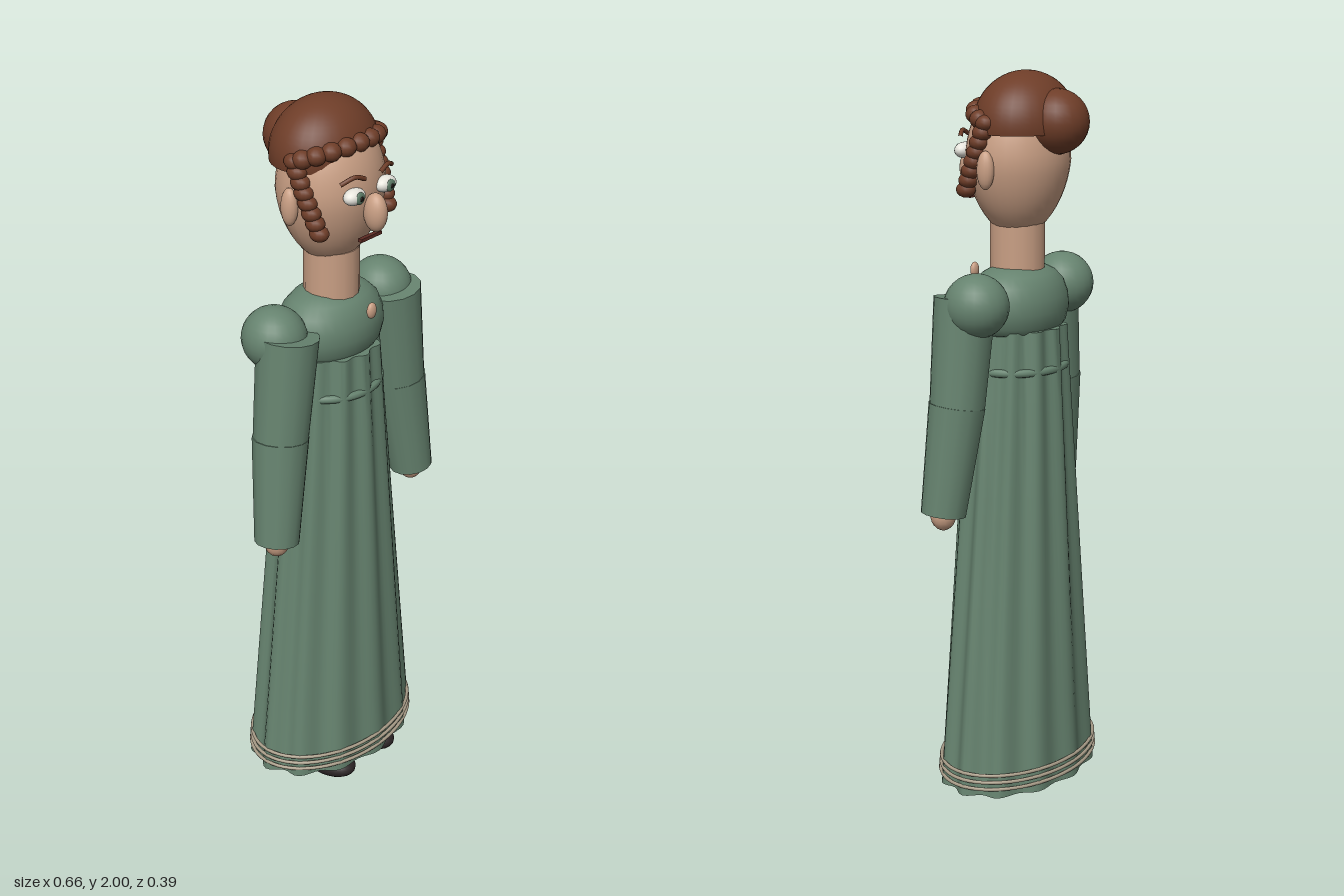
import * as THREE from 'three';
import { mergeVertices, toCreasedNormals } from 'three/addons/utils/BufferGeometryUtils.js';

const mat = (name, color) => {
  const m = new THREE.MeshStandardMaterial({ color });
  m.name = name;
  return m;
};

export function createModel() {
  const model = new THREE.Group();
  model.name = 'womanInGown';
  const dress = mat('dressGreen', 0x66836f), skin = mat('skin', 0xc99f84), hair = mat('hairBrown', 0x6e3d28);
  const shoe = mat('shoeDark', 0x2c2526), trim = mat('trimBeige', 0xa89c88), white = mat('eyeWhite', 0xe6e4dc);
  const iris = mat('irisGreen', 0x5c7a66), dark = mat('pupilDark', 0x17130f), lip = mat('lip', 0x5c2a22);
  const V = (x, y, z) => new THREE.Vector3(x, y, z);

  function add(name, geo, material, parent = model) {
    const mesh = new THREE.Mesh(geo, material);
    mesh.name = name;
    parent.add(mesh);
    return mesh;
  }
  function ball(name, material, pos, r, parent = model, seg = 24) {
    const m = add(name, new THREE.SphereGeometry(1, seg, Math.round(seg * 0.67)), material, parent);
    m.position.set(...pos);
    m.scale.set(...r);
    return m;
  }
  // Tapered cylinder between two points
  function limb(name, a, b, ra, rb, material, parent = model) {
    const m = add(name, new THREE.CylinderGeometry(ra, rb, a.distanceTo(b), 14), material, parent);
    m.position.copy(a).lerp(b, 0.5);
    m.quaternion.setFromUnitVectors(V(0, 1, 0), a.clone().sub(b).normalize());
    return m;
  }
  // Closed elliptical tube around the gown
  function ring(name, y, rx, rz, thick, material) {
    const pts = [];
    for (let i = 0; i < 32; i++) {
      const a = i / 32 * Math.PI * 2;
      pts.push(V(rx * Math.sin(a), y, 0.009 + rz * Math.cos(a)));
    }
    return add(name, new THREE.TubeGeometry(new THREE.CatmullRomCurve3(pts, true), 72, thick, 8, true), material);
  }

  // Fluted skirt: elliptical sections widening to the hem, twelve pleats
  const rows = [[0, 0.08], [1, 0.08], [1, 0.3], [1, 0.6], [1, 0.9], [1, 1.15], [1, 1.335], [0, 1.335]];
  let skirt = new THREE.LatheGeometry(rows.map(p => new THREE.Vector2(...p)), 96);
  const sp = skirt.attributes.position;
  for (let i = 0; i < sp.count; i++) {
    const x = sp.getX(i), y = sp.getY(i), z = sp.getZ(i);
    const t = (1.335 - y) / 1.255;
    const pleat = 1 - (0.055 - 0.015 * t) * (1 - Math.cos(12 * Math.atan2(x, z)));
    sp.setXYZ(i, x * (0.14 + 0.135 * t) * pleat, y, 0.009 + z * (0.127 + 0.059 * t) * pleat);
  }
  skirt.deleteAttribute('normal');
  skirt.deleteAttribute('uv');
  skirt = toCreasedNormals(mergeVertices(skirt, 1e-5), 0.9);
  add('skirt', skirt, dress);
  ring('waistCord', 1.228, 0.139, 0.121, 0.011, dress);
  [0.105, 0.124, 0.143].forEach((y, i) => ring('hemTrim', y, 0.271 - 0.002 * i, 0.184 - 0.001 * i, 0.005, trim));

  // Bodice and neck
  const bodice = add('bodice', new THREE.LatheGeometry([
    [0, 1.325], [0.84, 1.325], [0.94, 1.345], [1, 1.38], [0.98, 1.415], [0.89, 1.45], [0.73, 1.475], [0.5, 1.492], [0, 1.498],
  ].map(p => new THREE.Vector2(...p)), 32), dress);
  bodice.scale.set(0.162, 1, 0.12);
  bodice.position.z = 0.007;
  const neck = add('neck', new THREE.CylinderGeometry(0.073, 0.073, 0.16, 16), skin);
  neck.position.set(0, 1.53, 0.011);
  ball('pendant', skin, [0, 1.465, 0.148], [0.016, 0.022, 0.01], model, 14);

  // Head, narrowing to the chin
  const headGeo = new THREE.SphereGeometry(1, 32, 24);
  const hp = headGeo.attributes.position;
  for (let i = 0; i < hp.count; i++) {
    const y = hp.getY(i), k = 1 + 0.12 * Math.min(y, 0);
    hp.setXYZ(i, hp.getX(i) * 0.148 * k, y * 0.2, hp.getZ(i) * 0.133 * k);
  }
  headGeo.computeVertexNormals();
  const head = new THREE.Group();
  head.name = 'head';
  model.add(head);
  add('skull', headGeo, skin, head).position.set(0, 1.77, 0.008);
  ball('nose', skin, [0, 1.737, 0.157], [0.027, 0.051, 0.033], head);
  add('mouth', new THREE.BoxGeometry(0.076, 0.009, 0.012), lip, head).position.set(0, 1.668, 0.14);

  // Hair cap, bun and fringe curls
  const cap = add('hairCap', new THREE.SphereGeometry(1, 32, 16, 0, Math.PI * 2, 0, Math.PI * 0.54), hair, head);
  cap.material = hair;
  cap.scale.set(0.153, 0.137, 0.127);
  cap.position.set(0, 1.863, -0.014);
  const under = add('hairCapUnderside', new THREE.CircleGeometry(1, 32), hair, head);
  under.rotation.x = Math.PI / 2;
  under.scale.set(0.151, 0.125, 1);
  under.position.set(0, 1.848, -0.014);
  ball('hairBun', hair, [0, 1.874, -0.108], [0.083, 0.084, 0.087], head);
  for (let i = -4; i <= 4; i++) {
    const a = i * 0.31;
    ball('fringeCurl', hair, [0.142 * Math.sin(a), 1.872 + 0.034 * Math.cos(a), 0.005 + 0.097 * Math.cos(a)],
      [0.027, 0.024, 0.026], head, 14);
  }

  for (const s of [1, -1]) {
    const side = s > 0 ? 'left' : 'right';
    // Eye, brow and ear
    ball(side + 'Eye', white, [s * 0.058, 1.791, 0.138], [0.033, 0.021, 0.023], head);
    ball(side + 'Iris', iris, [s * 0.057, 1.791, 0.156], [0.016, 0.016, 0.007], head, 16);
    ball(side + 'Pupil', dark, [s * 0.057, 1.791, 0.161], [0.007, 0.007, 0.004], head, 12);
    const brow = new THREE.CatmullRomCurve3([
      V(s * 0.028, 1.831, 0.146), V(s * 0.06, 1.843, 0.142), V(s * 0.096, 1.828, 0.125)]);
    add(side + 'Brow', new THREE.TubeGeometry(brow, 12, 0.006, 8), hair, head);
    ball(side + 'Ear', skin, [s * 0.152, 1.757, 0.008], [0.02, 0.05, 0.024], head, 16);
    // Ringlet hanging before the ear
    for (let i = 0; i < 8; i++) {
      const t = i / 7;
      ball(side + 'Ringlet', hair, [s * (0.142 - 0.014 * t * t), 1.875 - 0.175 * t, 0.015 + 0.07 * t],
        [0.024, 0.021, 0.027], head, 14);
    }

    // Puffed shoulder, two-part sleeve, hand
    const arm = new THREE.Group();
    arm.name = side + 'Arm';
    model.add(arm);
    ball('shoulderPuff', dress, [s * 0.205, 1.416, 0.001], [0.084, 0.084, 0.086], arm);
    const elbow = V(s * 0.233, 1.145, 0.045), wrist = V(s * 0.272, 0.867, 0.064);
    limb('upperSleeve', V(s * 0.198, 1.432, 0.042), elbow, 0.082, 0.073, dress, arm);
    limb('lowerSleeve', elbow.clone().add(V(0, 0.01, 0)), wrist, 0.075, 0.06, dress, arm);
    ball('hand', skin, [s * 0.272, 0.865, 0.064], [0.035, 0.042, 0.034], arm, 16);

    ball(side + 'Shoe', shoe, [s * 0.085, 0.042, 0.073], [0.058, 0.038, 0.096]);
  }
  return model;
}
